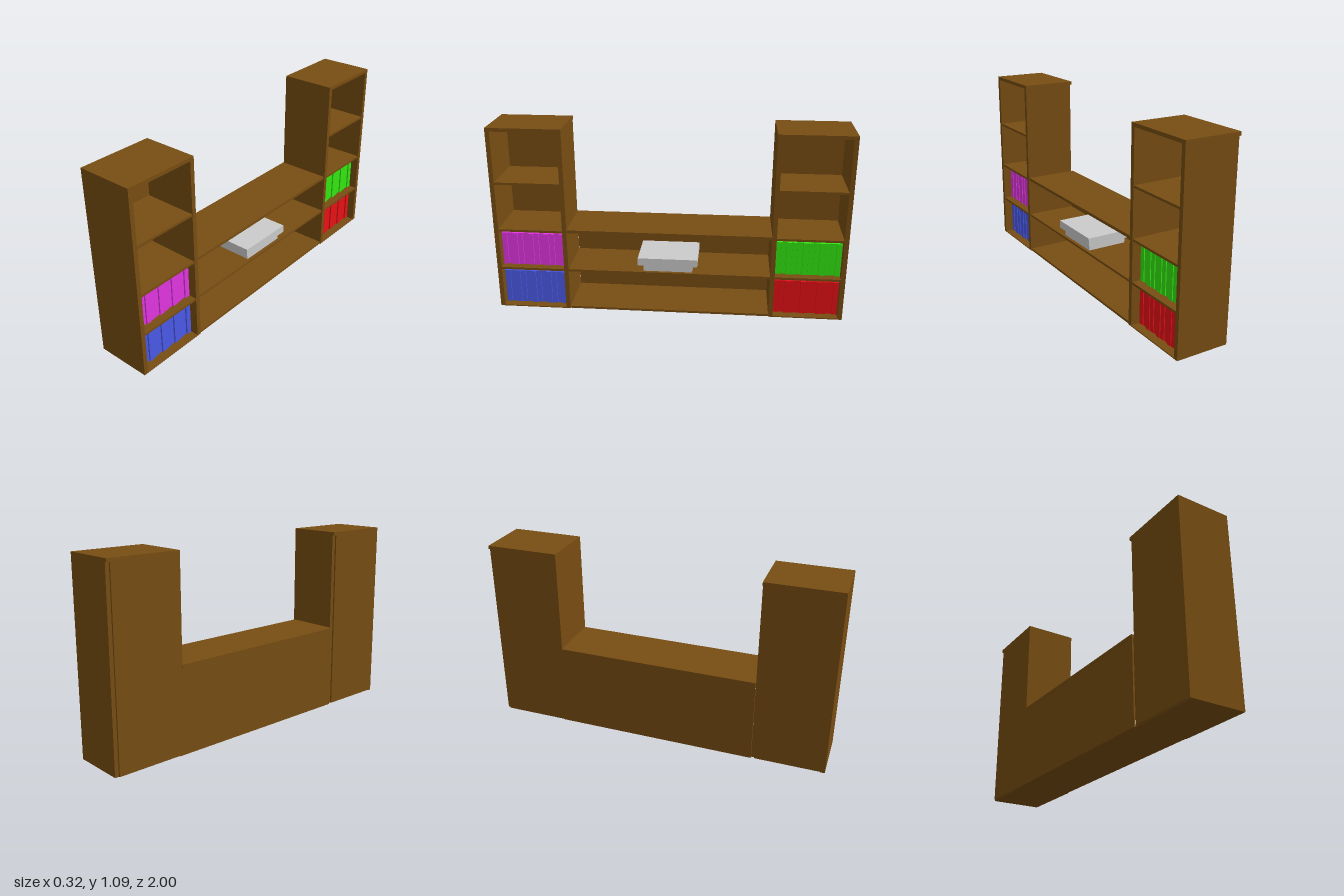
import * as THREE from 'three';

const material = (color) => new THREE.MeshStandardMaterial({ color });
const wood = material(0x784d12);
const grey = material(0xcccccc);

// Box given by its [min, max] range on each axis
function box(name, [x0, x1], [y0, y1], [z0, z1], mat = wood) {
  const mesh = new THREE.Mesh(new THREE.BoxGeometry(x1 - x0, y1 - y0, z1 - z0), mat);
  mesh.position.set((x0 + x1) / 2, (y0 + y1) / 2, (z0 + z1) / 2);
  mesh.name = name;
  return mesh;
}

// A row of upright books with slightly uneven depths
function bookRow(name, y0, y1, z0, z1, color) {
  const row = new THREE.Group();
  row.name = name;
  const mat = material(color);
  const count = 12;
  const pitch = (z1 - z0) / count;
  for (let i = 0; i < count; i++) {
    const front = 0.113 - 0.004 * ((i * 5) % 3);
    const start = z0 + i * pitch;
    row.add(box('book', [-0.135, front], [y0, y1], [start + 0.0006, start + pitch - 0.0006], mat));
  }
  return row;
}

// Tall bookcase occupying z0..z1
function tower(name, z0, z1, lowerColor, upperColor) {
  const g = new THREE.Group();
  g.name = name;
  const t = 0.025;
  const inner = [z0 + t, z1 - t];
  g.add(box('sidePanel', [-0.145, 0.16], [0, 1.065], [z0, z0 + t]));
  g.add(box('sidePanel', [-0.157, 0.16], [0, 1.065], [z1 - t, z1]));
  g.add(box('topPanel', [-0.157, 0.16], [1.065, 1.085], [z0, z1]));
  g.add(box('bottomPanel', [-0.147, 0.16], [0, 0.006], inner));
  g.add(box('backPanel', [-0.157, -0.148], [0.003, 1.065], [z0 + 0.02, z1 - t]));
  for (const y of [0.24, 0.478, 0.76]) {
    g.add(box('shelf', [-0.147, 0.158], [y, y + 0.013], inner));
  }
  g.add(bookRow('lowerBooks', 0.006, 0.21, inner[0], inner[1], lowerColor));
  g.add(bookRow('upperBooks', 0.253, 0.45, inner[0], inner[1], upperColor));
  return g;
}

// Low open console between the towers
function console_() {
  const g = new THREE.Group();
  g.name = 'console';
  const span = [-0.58, 0.58];
  g.add(box('consoleTop', [-0.16, 0.155], [0.48, 0.497], span));
  g.add(box('consoleShelf', [-0.147, 0.155], [0.24, 0.253], span));
  g.add(box('consoleBottom', [-0.147, 0.155], [0, 0.013], span));
  g.add(box('consoleBack', [-0.157, -0.147], [0, 0.48], span));
  return g;
}

// Two stacked players on the console shelf
function players() {
  const g = new THREE.Group();
  g.name = 'mediaPlayers';
  g.add(box('lowerPlayer', [-0.1, 0.136], [0.253, 0.295], [-0.135, 0.145], grey));
  g.add(box('upperPlayer', [-0.1, 0.157], [0.295, 0.34], [-0.165, 0.175], grey));
  return g;
}

export function createModel() {
  const model = new THREE.Group();
  model.name = 'wallUnit';
  model.add(tower('frontTower', 0.58, 1, 0x4a5ae8, 0xe236e2));
  model.add(tower('rearTower', -1, -0.58, 0xe81116, 0x33e811));
  model.add(console_(), players());
  return model;
}
